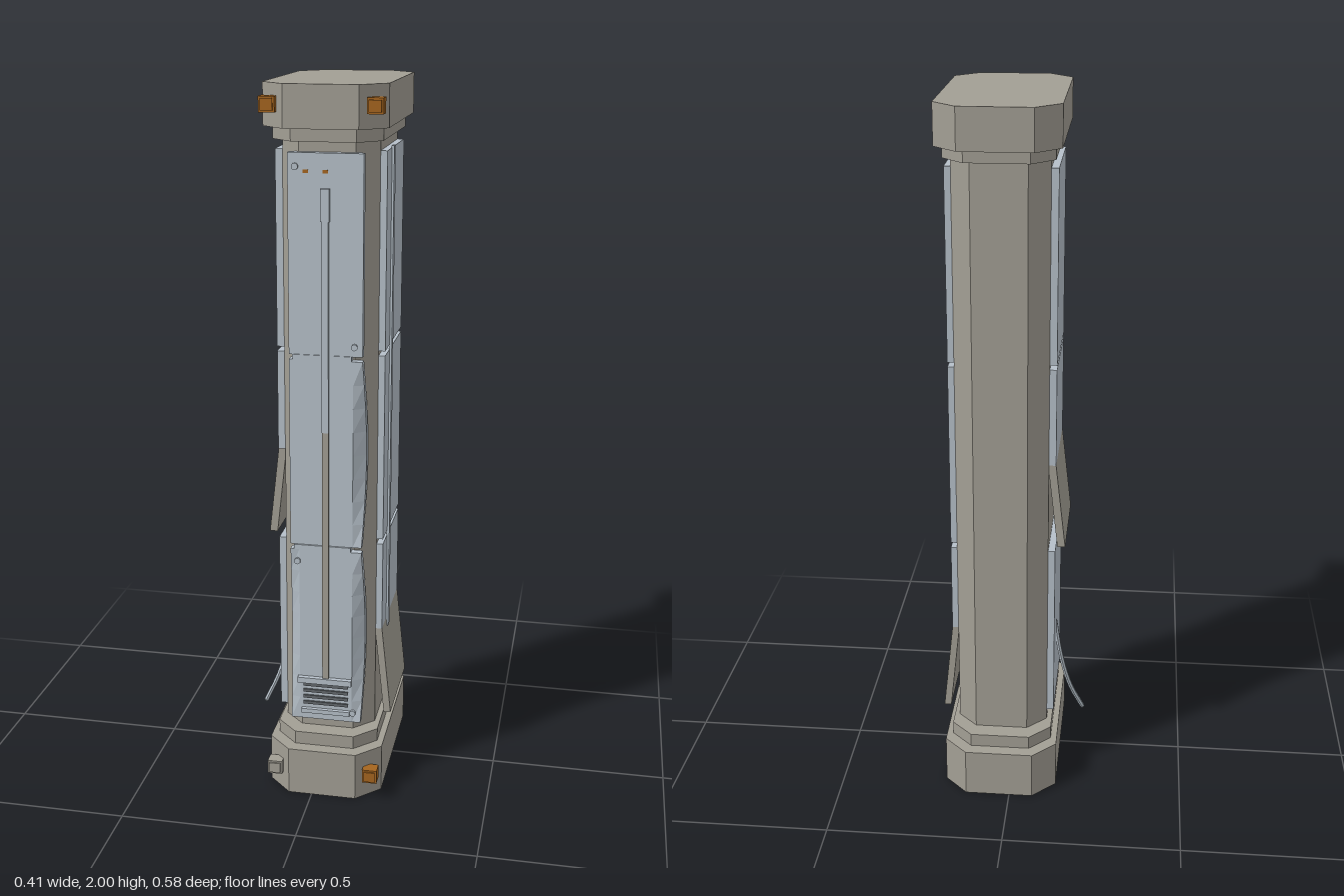
import * as THREE from 'three';

const mat = (name, color) => {
  const m = new THREE.MeshStandardMaterial({ color, flatShading: true });
  m.name = name;
  return m;
};

export function createModel() {
  const model = new THREE.Group();
  model.name = 'pillar';
  const stone = mat('warm grey', 0xa29e94);
  const panel = mat('pale blue grey', 0xb6c0c9);
  const orange = mat('amber', 0xa5651f);
  const dark = mat('dark slot', 0x62676b);
  const CX = 0.03; // centre line of the column

  const add = (name, geo, material, x = 0, y = 0, z = 0) => {
    const mesh = new THREE.Mesh(geo, material);
    mesh.name = name;
    mesh.position.set(x, y, z);
    model.add(mesh);
    return mesh;
  };
  // box given by its limits
  const block = (name, material, x0, x1, y0, y1, z0, z1) =>
    add(name, new THREE.BoxGeometry(x1 - x0, y1 - y0, z1 - z0), material,
      (x0 + x1) / 2, (y0 + y1) / 2, (z0 + z1) / 2);
  // box whose vertices are moved by a rule (t: 0 at the bottom, 1 at the top)
  const warped = (name, material, x0, x1, y0, y1, z0, z1, rule) => {
    const geo = new THREE.BoxGeometry(x1 - x0, y1 - y0, z1 - z0, 8, 8, 1);
    geo.translate((x0 + x1) / 2, (y0 + y1) / 2, (z0 + z1) / 2);
    const p = geo.attributes.position;
    const v = new THREE.Vector3();
    for (let i = 0; i < p.count; i++) {
      v.fromBufferAttribute(p, i);
      rule(v, (v.y - y0) / (y1 - y0));
      p.setXYZ(i, v.x, v.y, v.z);
    }
    geo.computeVertexNormals();
    return add(name, geo, material);
  };
  // upright prism with cut corners
  const prism = (name, hx, hz, cut, y0, y1) => {
    const s = new THREE.Shape([
      [hx - cut, -hz], [hx, cut - hz], [hx, hz - cut], [hx - cut, hz],
      [cut - hx, hz], [-hx, hz - cut], [-hx, cut - hz], [cut - hx, -hz],
    ].map(([x, y]) => new THREE.Vector2(x, y)));
    const geo = new THREE.ExtrudeGeometry(s, { depth: y1 - y0, bevelEnabled: false });
    geo.rotateX(-Math.PI / 2);
    add(name, geo, stone, CX, y0, -0.002);
  };

  // column, base and cap
  prism('column', 0.13, 0.2, 0.055, 0.17, 1.86);
  prism('base', 0.163, 0.287, 0.066, 0, 0.14);
  prism('baseStep', 0.145, 0.25, 0.06, 0.14, 0.178);
  prism('capStep', 0.145, 0.25, 0.06, 1.855, 1.89);
  prism('cap', 0.163, 0.287, 0.066, 1.89, 2);

  const rows = [[0.21, 0.735], [0.75, 1.28], [1.293, 1.825]];

  // front panels; the lower two curl back along their edges
  rows.forEach(([y0, y1], i) => {
    warped('frontPanel', panel, -0.07, 0.13, y0, y1, 0.198, 0.221, (v, t) => {
      if (i === 2) return;
      const bump = Math.sin(Math.PI * t);
      if (v.x > 0.12) { v.z -= 0.028 * bump; v.x += 0.008 * bump; }
      if (v.x < -0.06 && i === 0) v.z -= 0.015 * bump;
    });
  });

  // clips in the joints of the front panels
  for (const y of [0.742, 1.287]) {
    block('jointClip', panel, -0.06, 0.02, y - 0.007, y + 0.007, 0.2, 0.224);
    block('jointClip', panel, 0.04, 0.1, y - 0.007, y + 0.007, 0.2, 0.224);
  }

  // raised front strip
  block('frontStripUpper', panel, 0.021, 0.039, 1.08, 1.73, 0.22, 0.23);
  block('frontStripLower', stone, 0.021, 0.039, 0.335, 1.08, 0.22, 0.229);
  block('stripHead', panel, 0.018, 0.042, 1.65, 1.735, 0.22, 0.231);

  // grille
  block('grilleTop', panel, -0.05, 0.105, 0.328, 0.345, 0.22, 0.235);
  block('grilleBottom', panel, -0.04, 0.1, 0.232, 0.245, 0.22, 0.232);
  for (let i = 0; i < 4; i++) {
    const y = 0.258 + i * 0.019;
    block('grilleSlot', dark, -0.035, 0.095, y, y + 0.009, 0.22, 0.226);
  }

  // bolts and small marks
  const bolt = new THREE.CylinderGeometry(0.009, 0.009, 0.008, 10).rotateX(Math.PI / 2);
  for (const [x, y] of [[-0.05, 1.79], [0.108, 1.32], [-0.05, 0.7], [0.108, 0.24]])
    add('bolt', bolt, panel, x, y, 0.224);
  for (const x of [-0.022, 0.03])
    block('mark', orange, x - 0.007, x + 0.007, 1.774, 1.782, 0.22, 0.224);

  // left side panels: the bottom one flares outward
  block('leftPanel', panel, 0.158, 0.178, 1.293, 1.825, -0.147, 0.143);
  block('leftPanel', panel, 0.158, 0.178, 0.75, 1.28, -0.147, 0.143);
  block('leftPanel', panel, 0.158, 0.178, 0.475, 0.735, -0.147, 0.143);
  warped('leftPanelFlare', stone, 0.158, 0.178, 0.21, 0.475, -0.147, 0.143,
    (v, t) => { v.x += 0.028 * (1 - t); });
  block('leftStrip', panel, 0.176, 0.184, 0.45, 1.83, 0.042, 0.067);

  // right side panels: the middle one flares outward
  block('rightPanel', panel, -0.12, -0.098, 1.293, 1.825, -0.147, 0.143);
  block('rightPanel', panel, -0.12, -0.098, 1.0, 1.28, -0.147, 0.143);
  warped('rightPanelFlare', stone, -0.12, -0.098, 0.75, 1.0, -0.147, 0.138,
    (v, t) => { v.x -= 0.028 * (1 - t); });
  block('rightPanel', panel, -0.12, -0.098, 0.21, 0.735, -0.147, 0.143);

  // loose bent rod hanging from the right side
  const path = new THREE.CatmullRomCurve3([
    new THREE.Vector3(-0.115, 0.46, -0.045),
    new THREE.Vector3(-0.135, 0.33, -0.038),
    new THREE.Vector3(-0.163, 0.22, -0.022),
    new THREE.Vector3(-0.2, 0.135, -0.002),
  ]);
  add('looseRod', new THREE.TubeGeometry(path, 12, 0.007, 6), panel);
  add('rodEnd', new THREE.SphereGeometry(0.007, 6, 4), panel, -0.2, 0.135, -0.002);

  // corner lamps, one of them unlit
  for (const x of [-0.108, 0.168])
    for (const y of [0.075, 1.949]) {
      const off = x < 0 && y < 1;
      const m = off ? stone : orange;
      block('cornerLamp', m, x - 0.021, x + 0.021, y - 0.02, y + 0.02, 0.247, 0.284);
      block('lampFace', m, x - 0.016, x + 0.016, y - 0.015, y + 0.015, 0.283, 0.288);
    }

  return model;
}
